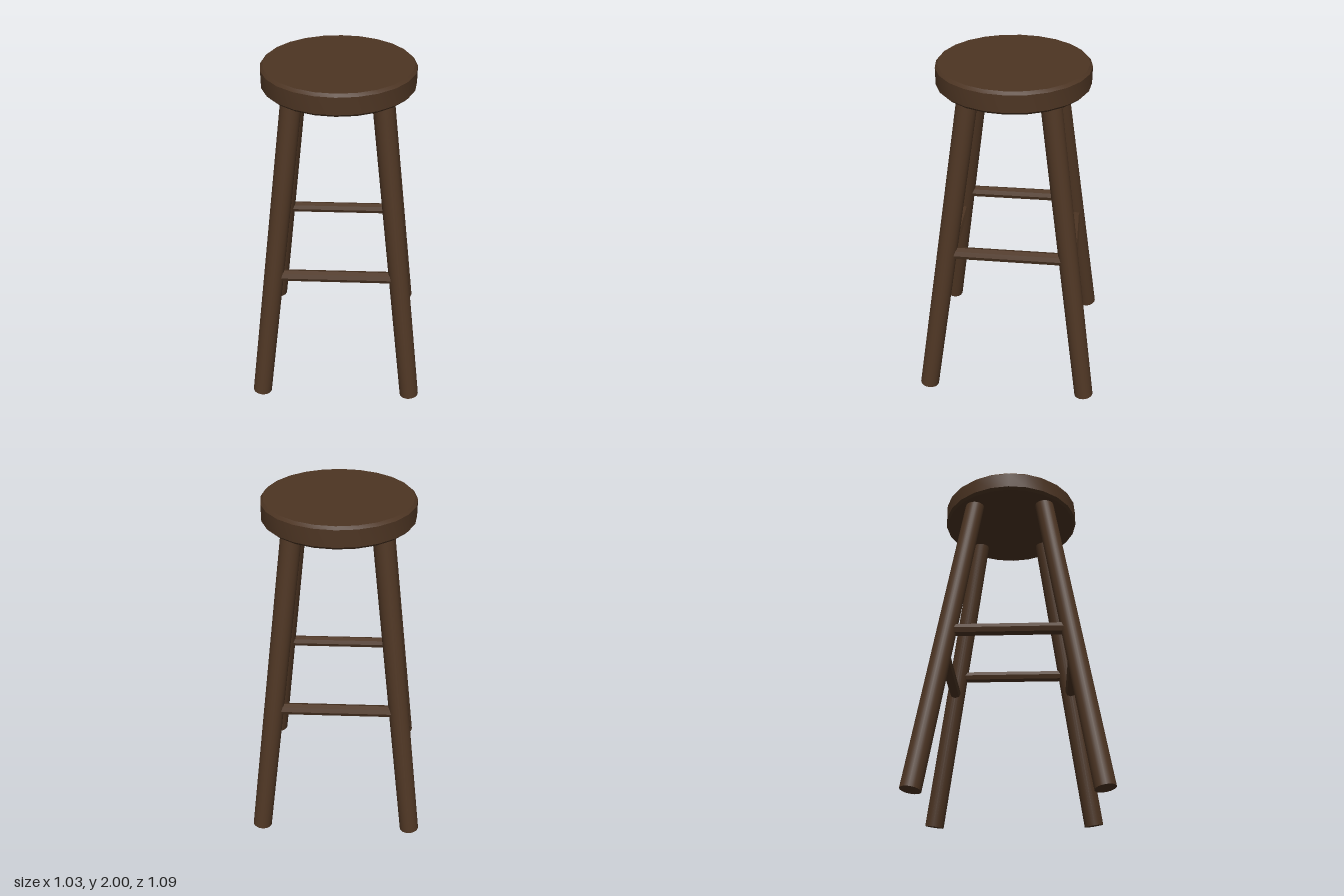
import * as THREE from 'three';
import { toCreasedNormals } from 'three/addons/utils/BufferGeometryUtils.js';

const V = (x, y, z) => new THREE.Vector3(x, y, z);

export function createModel() {
  const stool = new THREE.Group();
  stool.name = 'barStool';
  const wood = new THREE.MeshStandardMaterial({ color: 0x4d3523 });
  wood.name = 'darkWood';

  // Round bar running between two points
  function bar(name, from, to, radius, sides) {
    const dir = to.clone().sub(from);
    const geo = new THREE.CylinderGeometry(radius, radius, dir.length(), sides);
    const mesh = new THREE.Mesh(toCreasedNormals(geo, 0.55), wood);
    mesh.name = name;
    mesh.position.copy(from).add(to).multiplyScalar(0.5);
    mesh.quaternion.setFromUnitVectors(V(0, 1, 0), dir.normalize());
    stool.add(mesh);
  }

  // Round seat with bevelled rims
  const profile = [[0, 1.875], [0.41, 1.875], [0.425, 1.89], [0.425, 1.985], [0.41, 2], [0, 2]];
  const seatGeo = new THREE.LatheGeometry(profile.map(([r, y]) => new THREE.Vector2(r, y)), 24);
  const seat = new THREE.Mesh(toCreasedNormals(seatGeo, 0.55), wood);
  seat.name = 'seat';
  stool.add(seat);

  // Centre of a splayed leg at a given height
  const legAt = (sx, sz, y) => V(sx * (0.461 - 0.118 * y), y, sz * (0.489 - 0.144 * y));

  // Four splayed legs
  for (const sx of [-1, 1]) {
    for (const sz of [-1, 1]) {
      const name = (sz > 0 ? 'front' : 'back') + (sx > 0 ? 'Left' : 'Right') + 'Leg';
      bar(name, legAt(sx, sz, 0.01), legAt(sx, sz, 1.89), 0.057, 24);
    }
  }

  // Octagonal rungs: low pair front and back, higher pair at the sides
  for (const s of [-1, 1]) {
    bar(s > 0 ? 'frontRung' : 'backRung', legAt(-1, s, 0.832), legAt(1, s, 0.832), 0.034, 8);
    bar(s > 0 ? 'leftRung' : 'rightRung', legAt(s, -1, 0.955), legAt(s, 1, 0.955), 0.036, 8);
  }
  return stool;
}
